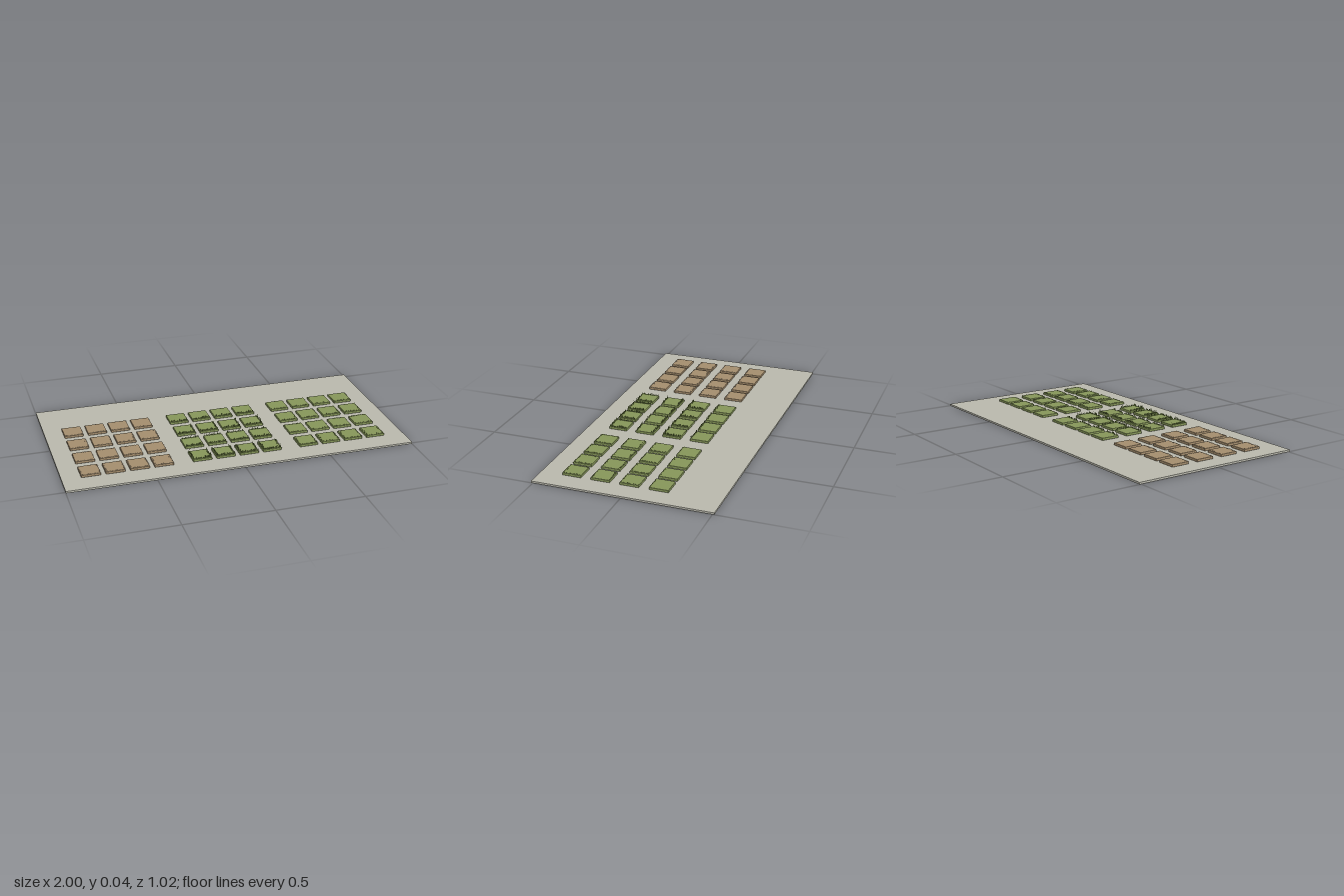
import * as THREE from 'three';
import { mergeGeometries } from 'three/addons/utils/BufferGeometryUtils.js';
import { RoundedBoxGeometry } from 'three/addons/geometries/RoundedBoxGeometry.js';

const mat = (name, color) => {
  const m = new THREE.MeshStandardMaterial({ color });
  m.name = name;
  return m;
};

// small seeded generator
function seeded(seed) {
  let s = seed;
  return () => (s = (s * 16807) % 2147483647) / 2147483647;
}

const TILE = 0.11, PITCH = 0.1365, BASE_H = 0.011, TOP = 0.026;

// edges that carry trim in each row: outward direction [x, z]
const FRONT = [0, 1], BACK = [0, -1], RIGHT = [1, 0], LEFT = [-1, 0];
const ROWS = [
  { z: -0.165, edges: [FRONT] },
  { z: 0, edges: [FRONT, RIGHT] },
  { z: 0.165, edges: [FRONT, BACK] },
  { z: 0.33, edges: [FRONT, RIGHT, LEFT] },
];

// one upright blade, a thin three-sided cone leaning a little
function blade(rand, height) {
  const h = height * (0.45 + 0.55 * rand());
  const g = new THREE.ConeGeometry(0.0022 + 0.0012 * rand(), h, 3);
  g.translate(0, h / 2, 0);
  g.rotateY(rand() * Math.PI);
  g.rotateZ((rand() - 0.5) * 0.5);
  g.rotateX((rand() - 0.5) * 0.5);
  return g;
}

// one low pebble
function pebble(rand, height) {
  const g = new THREE.IcosahedronGeometry(0.002 + 0.0015 * rand(), 0);
  g.scale(1, height / 0.0035, 1);
  g.rotateY(rand() * Math.PI);
  return g;
}

// trim scattered along the chosen edges of a tile
function edgeTrim(edges, make, count, height, rand) {
  const parts = [];
  for (const [ex, ez] of edges) {
    for (let i = 0; i < count; i++) {
      const along = ((i + 0.2 + 0.6 * rand()) / count - 0.5) * (TILE - 0.006);
      const out = TILE / 2 - 0.003 - 0.009 * rand() * rand();
      const g = make(rand, height);
      g.translate(ex * out + ez * along, TOP - 0.001, ez * out + ex * along);
      parts.push(g);
    }
  }
  return mergeGeometries(parts);
}

export function createModel() {
  const model = new THREE.Group();
  model.name = 'groundTileSet';

  const stone = mat('pale stone', 0xb9b8ac);
  const soil = mat('brown soil', 0xa48d6d);
  const gravel = mat('light gravel', 0xa8967c);
  const grass = mat('grass green', 0x869659);
  const blades = mat('blade green', 0x687c3a);

  // display board
  const board = new THREE.Mesh(new THREE.BoxGeometry(2, BASE_H, 1.02), stone);
  board.name = 'board';
  board.position.y = BASE_H / 2;
  model.add(board);

  const h = TOP - BASE_H;
  const slab = new RoundedBoxGeometry(TILE, h, TILE, 1, 0.003);
  slab.translate(0, BASE_H + h / 2, 0);

  // three blocks of four by four tiles
  const sets = [
    { name: 'soil', x: -0.839, slab: soil, trim: gravel, make: pebble, count: 16, height: 0.0035 },
    { name: 'tallGrass', x: -0.211, slab: grass, trim: blades, make: blade, count: 20, height: 0.018 },
    { name: 'shortGrass', x: 0.417, slab: grass, trim: blades, make: blade, count: 20, height: 0.006 },
  ];

  sets.forEach((set, s) => {
    const block = new THREE.Group();
    block.name = set.name + 'Block';
    ROWS.forEach((row, r) => {
      for (let c = 0; c < 4; c++) {
        const tile = new THREE.Group();
        tile.name = set.name + 'Tile';
        tile.position.set(set.x + c * PITCH, 0, row.z);

        const body = new THREE.Mesh(slab, set.slab);
        body.name = 'slab';
        const rand = seeded(977 + s * 1601 + r * 211 + c * 37);
        for (let k = 0; k < 5; k++) rand();
        const trim = new THREE.Mesh(
          edgeTrim(row.edges, set.make, set.count, set.height, rand), set.trim);
        trim.name = 'edgeTrim';
        tile.add(body, trim);
        block.add(tile);
      }
    });
    model.add(block);
  });

  return model;
}
